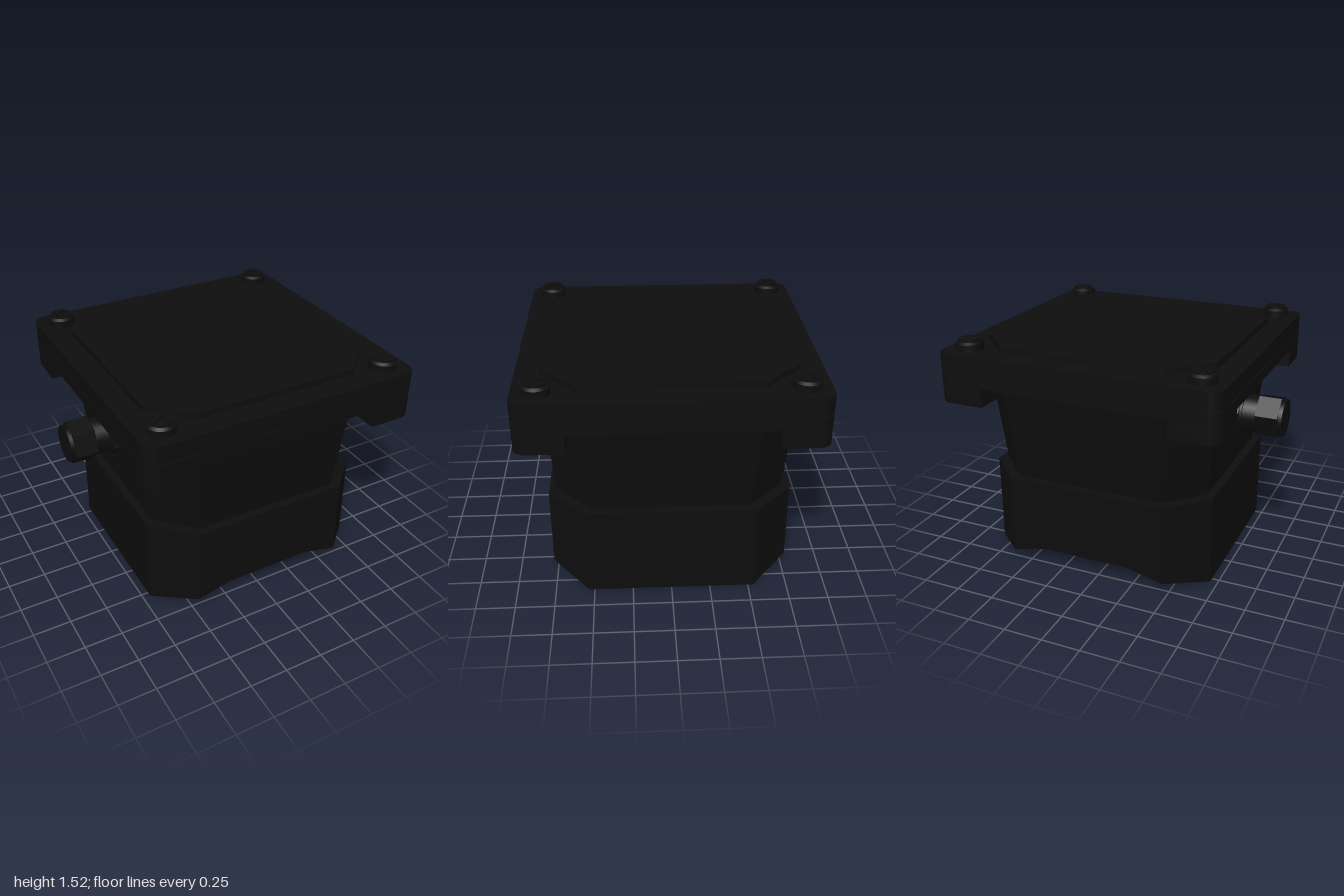
import * as THREE from 'three';

const CX = 0.075; // the box sits off centre because of the cable gland
const black = new THREE.MeshStandardMaterial({ color: 0x0d0d0d, flatShading: true });
const blackSmooth = new THREE.MeshStandardMaterial({ color: 0x0d0d0d });

function add(parent, name, geometry, material = black) {
  const mesh = new THREE.Mesh(geometry, material);
  mesh.name = name;
  parent.add(mesh);
  return mesh;
}

// Extrudes a plan outline upwards from y0 to y1
function slab(shape, y0, y1) {
  return new THREE.ExtrudeGeometry(shape, { depth: y1 - y0, bevelEnabled: false, curveSegments: 8 })
    .rotateX(-Math.PI / 2).translate(0, y0, 0);
}

// Square with rounded corners
function roundedSquare(h, r) {
  const s = new THREE.Shape();
  const c = h - r;
  s.absarc(c, c, r, 0, Math.PI / 2);
  s.absarc(-c, c, r, Math.PI / 2, Math.PI);
  s.absarc(-c, -c, r, Math.PI, Math.PI * 1.5);
  s.absarc(c, -c, r, Math.PI * 1.5, Math.PI * 2);
  s.closePath();
  return s;
}

// Square with chamfered corners
function octagon(h, c) {
  const k = h - c;
  return new THREE.Shape([[h, -k], [h, k], [k, h], [-k, h], [-h, k], [-h, -k], [-k, -h], [k, -h]]
    .map(([x, y]) => new THREE.Vector2(x, y)));
}

// Chamfered base with an arched underside, lofted from rectangles along x
function baseGeometry(top) {
  const half = [[0.775, 0.535, 0], [0.535, 0.775, 0.061], [0.3, 0.775, 0.12]]; // x, half depth, underside
  const sections = [...half.map(([x, z, y]) => [-x, z, y]), ...half.slice().reverse()];
  const rings = sections.map(([x, z, y]) => [[x, y, z], [x, top, z], [x, top, -z], [x, y, -z]]);
  const pos = [];
  const quad = (a, b, c, d) => pos.push(...a, ...b, ...c, ...a, ...c, ...d);
  for (let i = 0; i < rings.length - 1; i++) {
    const p = rings[i], q = rings[i + 1];
    for (let j = 0; j < 4; j++) {
      const k = (j + 1) % 4;
      quad(p[j], q[j], q[k], p[k]);
    }
  }
  const f = rings[0], l = rings[rings.length - 1];
  quad(f[0], f[1], f[2], f[3]);
  quad(l[3], l[2], l[1], l[0]);
  const g = new THREE.BufferGeometry();
  g.setAttribute('position', new THREE.Float32BufferAttribute(pos, 3));
  g.computeVertexNormals();
  return g;
}

// Chamfered column that widens towards the lid
function columnGeometry(y0, y1) {
  const g = slab(octagon(0.72, 0.223), y0, y1);
  const p = g.attributes.position;
  for (let i = 0; i < p.count; i++) {
    const s = 1 + (p.getY(i) - y0) * 0.144;
    p.setX(i, p.getX(i) * s);
    p.setZ(i, p.getZ(i) * s);
  }
  g.computeVertexNormals();
  return g;
}

// Block under one corner of the rim, rounded on the outside
function cornerShape(h, size, r) {
  const s = new THREE.Shape();
  s.moveTo(h - size, h - size);
  s.lineTo(h, h - size);
  s.absarc(h - r, h - r, r, 0, Math.PI / 2);
  s.lineTo(h - size, h);
  s.closePath();
  return s;
}

// Screw head with a cross recess
function screwGeometry() {
  const s = new THREE.Shape();
  s.absarc(0, 0, 0.067, 0, Math.PI * 2);
  const a = 0.055, b = 0.012;
  s.holes.push(new THREE.Path([[a, -b], [b, -b], [b, -a], [-b, -a], [-b, -b], [-a, -b],
    [-a, b], [-b, b], [-b, a], [b, a], [b, b], [a, b]].map(([x, y]) => new THREE.Vector2(x, y))));
  return new THREE.ExtrudeGeometry(s, { depth: 0.012, bevelEnabled: false, curveSegments: 16 })
    .rotateX(-Math.PI / 2);
}

export function createModel() {
  const model = new THREE.Group();
  model.name = 'junctionBox';
  const box = new THREE.Group();
  box.name = 'enclosure';
  box.position.x = CX;
  model.add(box);

  // Lower body
  add(box, 'base', baseGeometry(0.6));
  add(box, 'column', columnGeometry(0.6, 1.26));

  // Rim with four hanging corner blocks, then the lid above a thin gap
  const H = 0.925, R = 0.08;
  add(box, 'rim', slab(roundedSquare(H, R), 1.25, 1.325), blackSmooth);
  for (let i = 0; i < 4; i++) {
    add(box, 'cornerBlock', slab(cornerShape(H, 0.31, R), 1.13, 1.25), blackSmooth)
      .rotation.y = i * Math.PI / 2;
  }
  add(box, 'lid', slab(roundedSquare(H, R), 1.333, 1.45), blackSmooth);
  add(box, 'lidPanel', slab(octagon(0.775, 0.23), 1.45, 1.49));

  // Lid screws
  for (const sx of [-1, 1]) for (const sz of [-1, 1]) {
    const screw = new THREE.Group();
    screw.name = 'screw';
    screw.position.set(sx * 0.768, 1.45, sz * 0.775);
    screw.rotation.y = 0.6;
    add(screw, 'screwHead', new THREE.CylinderGeometry(0.087, 0.087, 0.045, 32).translate(0, 0.0225, 0), blackSmooth);
    add(screw, 'screwShoulder', new THREE.CylinderGeometry(0.067, 0.087, 0.013, 32).translate(0, 0.0515, 0), blackSmooth);
    add(screw, 'screwCross', screwGeometry().translate(0, 0.058, 0), blackSmooth);
    box.add(screw);
  }

  // Cable gland on the right wall: name, start x, end x, radius, sides
  const gland = new THREE.Group();
  gland.name = 'cableGland';
  gland.position.set(0, 0.996, -0.012);
  model.add(gland);
  for (const [name, x0, x1, r, sides] of [
    ['glandEnd', -1, -0.975, 0.122, 32],
    ['glandNut', -0.975, -0.83, 0.1435, 6],
    ['glandNeck', -0.83, -0.74, 0.122, 32],
    ['glandCollar', -0.74, -0.725, 0.135, 32],
    ['glandBaseNut', -0.725, -0.64, 0.157, 6],
  ]) {
    const g = new THREE.CylinderGeometry(r, r, x1 - x0, sides)
      .rotateY(-Math.PI / 12).rotateZ(Math.PI / 2).translate((x0 + x1) / 2, 0, 0);
    add(gland, name, g, sides === 6 ? black : blackSmooth);
  }
  return model;
}
